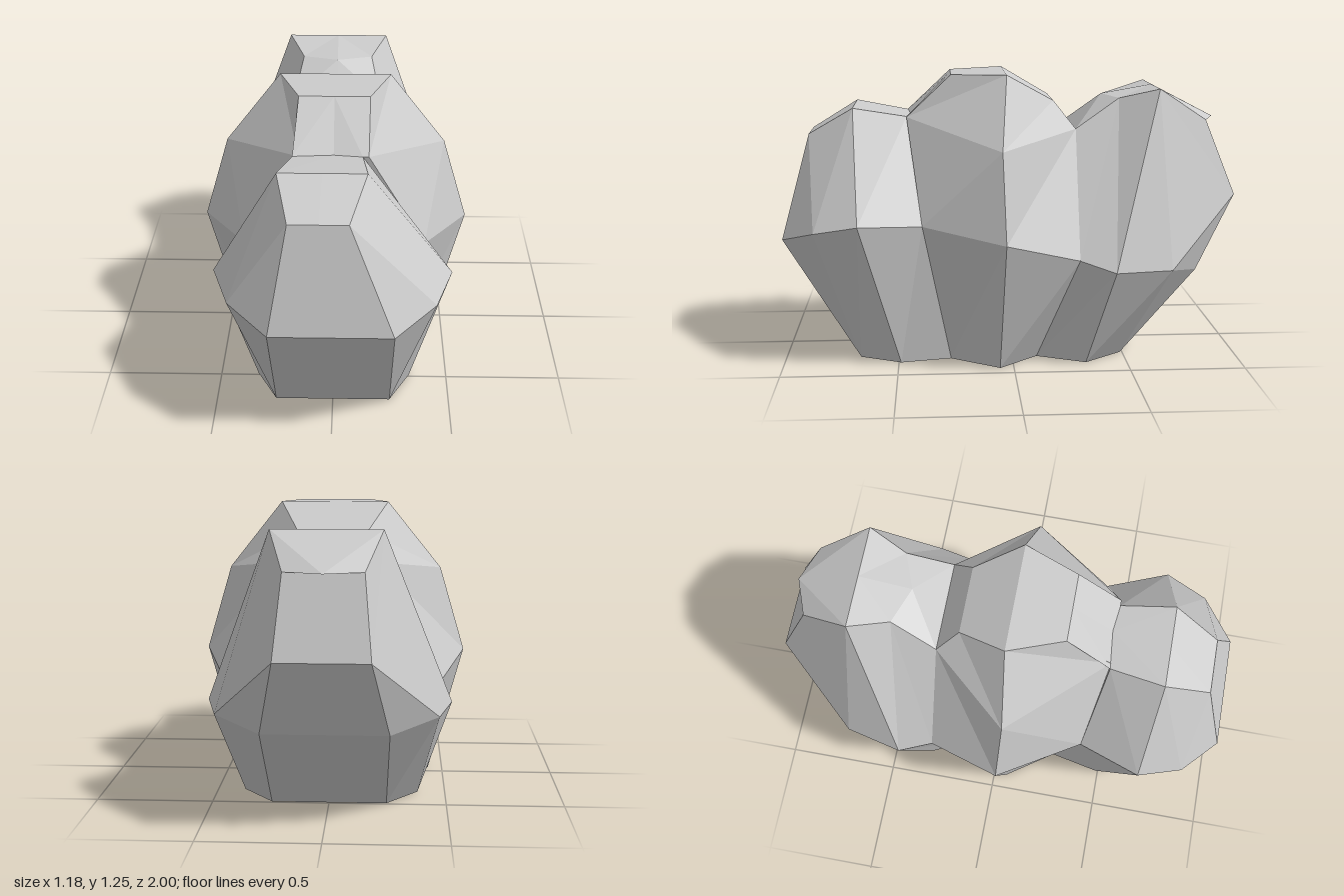
import * as THREE from 'three';

// One station of the bush, half section: base, mid, shoulder, top, centre.
// cx shifts the crown sideways.
const station = (base, mid, shoulder, top, centre, cx = 0) => {
  const half = [base, mid, shoulder, top];
  const shift = (p, s) => new THREE.Vector3(s * p[0] + (p === top ? cx : 0), p[1], p[2]);
  return [
    ...half.map((p) => shift(p, 1)),
    new THREE.Vector3(centre[0], centre[1], centre[2]),
    ...half.reverse().map((p) => shift(p, -1)),
  ];
};
const flat = (base, mid, shoulder, top, cx = 0) =>
  station(base, mid, shoulder, top, [cx, top[1], top[2]], cx);

function bushStations() {
  const frontBase = [0.245, 0, 0.67], frontTop = [0.12, 0.98, 0.89];
  const b1 = [0.29, 0, 0.27], m1 = [0.39, 0.62, 0.39], t1 = [0.145, 1.06, 0.455];
  const b2 = [0.28, 0, -0.11], m2 = [0.47, 0.48, -0.28], t2 = [0.2, 1.01, -0.285];
  const backBase = [0.245, 0, -0.49], backCrown = [0.23, 1.185, -0.65];
  const crown1 = [0.18, 1.1, 0.69], crown3 = [0.16, 1.14, -0.48];
  return [
    // front lump
    flat(frontBase, [0.25, 0.54, 1], frontTop, frontTop, -0.05),
    flat(frontBase, [0.42, 0.6, 0.85], frontTop, frontTop, -0.05),
    flat([0.335, 0, 0.49], [0.49, 0.64, 0.66], crown1, crown1, -0.04),
    // first valley
    station(b1, m1, t1, t1, [0, 1.06, 0.44], -0.025),
    // middle lump
    flat(b1, m1, t1, [0.15, 1.245, 0.26]),
    flat([0.435, 0, 0.06], [0.59, 0.575, 0.04], [0.48, 0.95, 0.05], [0.24, 1.25, 0.02]),
    flat(b2, m2, t2, [0.15, 1.13, -0.19]),
    // second valley
    flat(b2, m2, t2, t2),
    // back lump
    station([0.38, 0, -0.32], [0.52, 0.435, -0.43], crown3, crown3, [0, 1.145, -0.42]),
    flat(backBase, [0.46, 0.43, -0.68], backCrown, backCrown),
    station(backBase, [0.26, 0.385, -0.82], [0.19, 0.71, -1], [0.16, 1.04, -0.87], [0, 1.04, -0.93]),
  ];
}

// Joins the stations into a closed faceted skin.
function loft(rings) {
  const out = [];
  const area = new THREE.Triangle();
  const tri = (a, b, c) => {
    if (area.set(a, b, c).getArea() > 1e-5) for (const p of [a, b, c]) out.push(p.x, p.y, p.z);
  };
  const quad = (a, b, c, d) => { tri(a, b, c); tri(a, c, d); };
  const n = rings[0].length;
  for (let i = 0; i < rings.length - 1; i++) {
    const p = rings[i], q = rings[i + 1];
    for (let j = 0; j < n; j++) {
      const k = (j + 1) % n;
      // mirrored diagonals on the two sides
      if (j < n / 2 - 1) quad(p[j], q[j], q[k], p[k]);
      else quad(p[k], p[j], q[j], q[k]);
    }
  }
  // front and back caps
  const f = rings[0], r = rings[rings.length - 1];
  for (let j = 0; j < (n - 1) / 2; j++) {
    quad(f[j], f[j + 1], f[n - 2 - j], f[n - 1 - j]);
    quad(r[n - 1 - j], r[n - 2 - j], r[j + 1], r[j]);
  }
  const g = new THREE.BufferGeometry();
  g.setAttribute('position', new THREE.Float32BufferAttribute(out, 3));
  g.computeVertexNormals();
  return g;
}

export function createModel() {
  const group = new THREE.Group();
  group.name = 'bush';
  const foliage = new THREE.Mesh(
    loft(bushStations()),
    new THREE.MeshStandardMaterial({ color: 0xcccccc, flatShading: true }),
  );
  foliage.name = 'foliage';
  group.add(foliage);
  return group;
}
